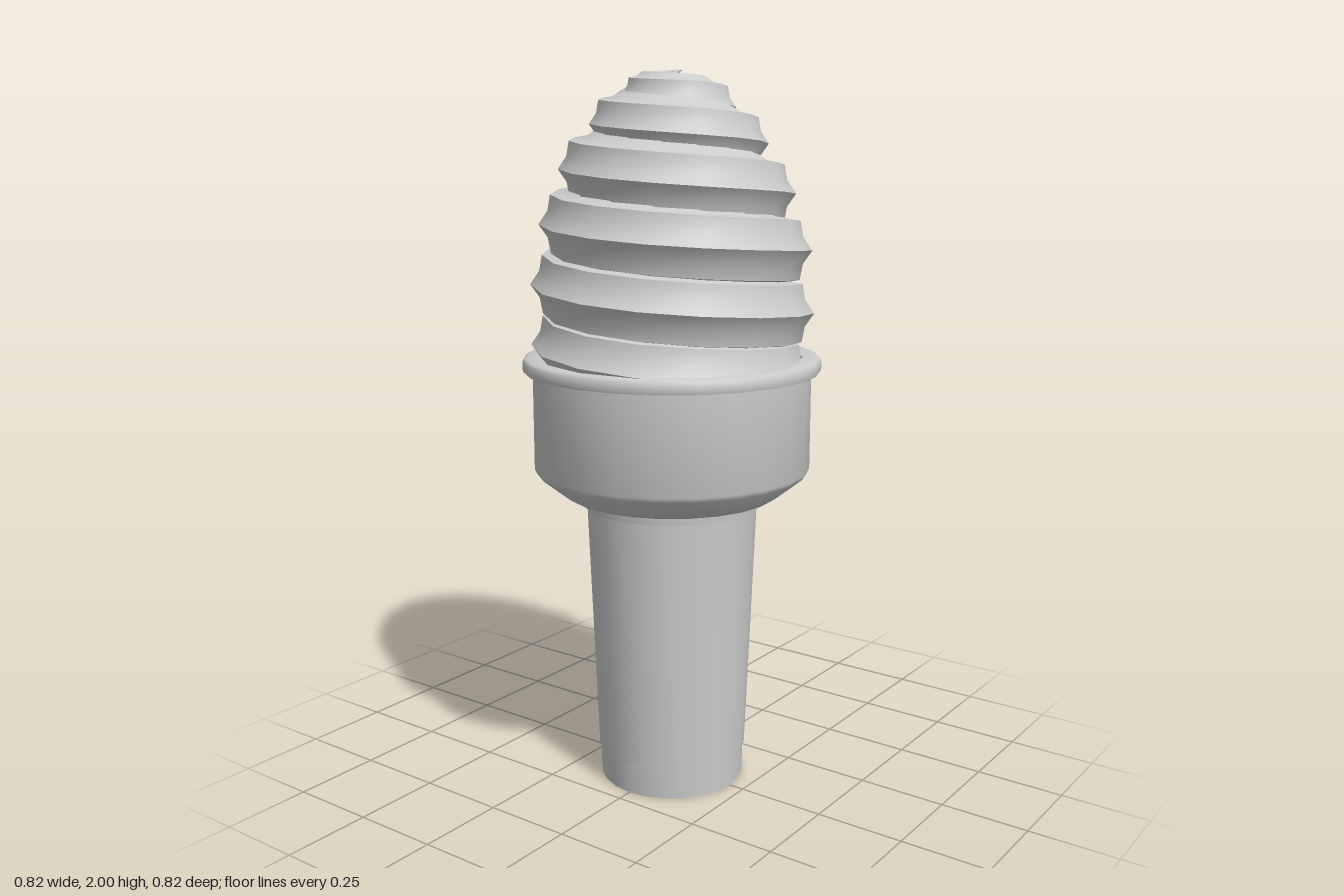
import * as THREE from 'three';
import { toCreasedNormals } from 'three/addons/utils/BufferGeometryUtils.js';

const material = new THREE.MeshStandardMaterial({ color: 0xcccccc, side: THREE.DoubleSide });

// Revolved part with crisp edges
function lathe(name, profile) {
  const points = profile.map(([r, y]) => new THREE.Vector2(r, y));
  const mesh = new THREE.Mesh(toCreasedNormals(new THREE.LatheGeometry(points, 24), 0.9), material);
  mesh.name = name;
  return mesh;
}

// Swirl keys: turn, ridge height, outer radius, rope radius
const keys = [
  [-1.2, 1.04, 0.34, 0.1], [-0.5, 1.12, 0.37, 0.11], [0, 1.2, 0.385, 0.112],
  [1, 1.365, 0.39, 0.112], [2, 1.535, 0.38, 0.112], [3, 1.685, 0.33, 0.108],
  [3.5, 1.755, 0.3, 0.102], [4, 1.815, 0.25, 0.095], [4.5, 1.868, 0.215, 0.085],
  [5, 1.905, 0.16, 0.075], [5.25, 1.922, 0.137, 0.064], [5.5, 1.945, 0.13, 0.048],
  [5.69, 1.999, 0.117, 0.001],
];

function sampleKeys(turn) {
  let i = 0;
  while (i < keys.length - 2 && turn > keys[i + 1][0]) i++;
  const a = keys[i], b = keys[i + 1];
  const f = (turn - a[0]) / (b[0] - a[0]);
  return [1, 2, 3].map((k) => THREE.MathUtils.lerp(a[k], b[k], f));
}

// Fluted rope wound upwards into a tapering swirl
function swirl() {
  const steps = 104, sides = 16;
  const first = keys[0][0], last = keys[keys.length - 1][0];
  const positions = [], index = [];
  for (let i = 0; i <= steps; i++) {
    const turn = first + (last - first) * i / steps;
    const [y, outer, rope] = sampleKeys(turn);
    const phi = -turn * Math.PI * 2;
    for (let j = 0; j < sides; j++) {
      const a = j / sides * Math.PI * 2;
      const r = rope * (j % 2 ? 0.84 : 1);
      const radial = outer - rope + Math.cos(a) * r;
      positions.push(Math.sin(phi) * radial, y + Math.sin(a) * r, Math.cos(phi) * radial);
      if (i === steps) continue;
      const p = i * sides + j, q = i * sides + (j + 1) % sides;
      index.push(p, q, p + sides, q, q + sides, p + sides);
    }
  }
  // Cap over the buried start of the rope
  for (let j = 1; j < sides - 1; j++) index.push(0, j + 1, j);
  const geometry = new THREE.BufferGeometry();
  geometry.setAttribute('position', new THREE.Float32BufferAttribute(positions, 3));
  geometry.setIndex(index);
  const mesh = new THREE.Mesh(toCreasedNormals(geometry, 1.1), material);
  mesh.name = 'creamSwirl';
  return mesh;
}

export function createModel() {
  const group = new THREE.Group();
  group.name = 'softServeCone';

  // Tapered stem with a foot band and a recess underneath
  group.add(lathe('stem', [
    [0, 0.18], [0.165, 0.18], [0.165, 0], [0.205, 0],
    [0.208, 0.09], [0.212, 0.092], [0.24, 0.81],
  ]));

  // Collar between stem and cup
  group.add(lathe('collar', [
    [0.235, 0.81], [0.25, 0.81], [0.252, 0.83], [0.243, 0.835], [0.243, 0.85],
  ]));

  // Wide cup with chamfered base and inner floor
  group.add(lathe('cup', [
    [0.22, 0.84], [0.295, 0.842], [0.305, 0.848], [0.38, 0.908], [0.385, 0.92],
    [0.385, 1.2], [0.355, 1.2], [0.355, 0.93], [0.28, 0.88], [0, 0.88],
  ]));

  // Projecting rim
  group.add(lathe('rim', [
    [0.355, 1.193], [0.41, 1.193], [0.412, 1.2], [0.412, 1.223], [0.405, 1.23],
    [0.36, 1.23], [0.355, 1.193],
  ]));

  group.add(swirl());
  return group;
}
